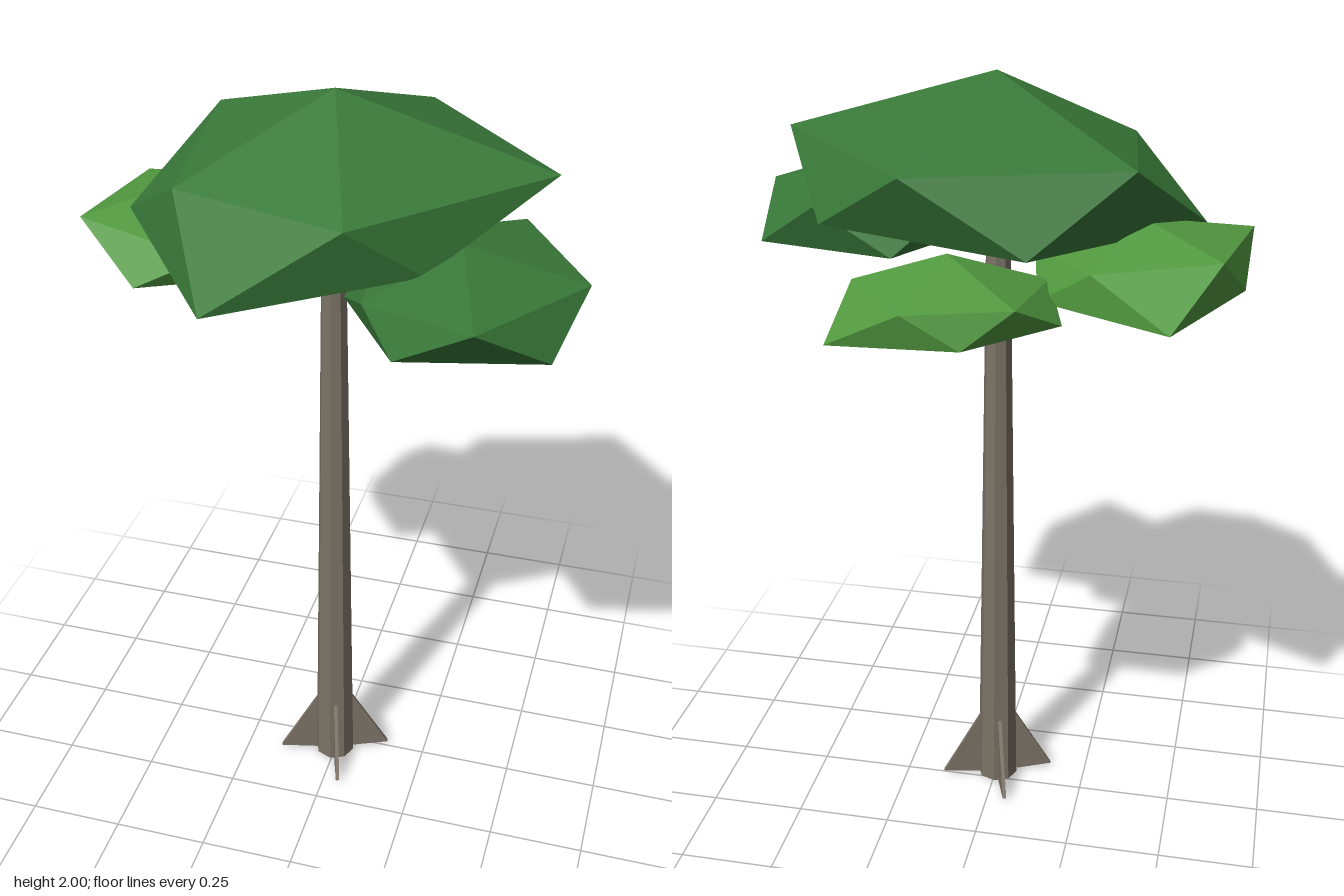
import * as THREE from 'three';

// Faceted foliage clump: top point, upper ring of five, lower ring of five, bottom point.
// Rings run from +x towards +z; the lower ring sits half a step further round.
function clump(name, material, apex, upper, lower, pole) {
  const pos = [];
  const tri = (a, b, c) => pos.push(...a, ...b, ...c);
  for (let i = 0; i < 5; i++) {
    const j = (i + 1) % 5;
    tri(apex, upper[j], upper[i]);
    tri(upper[i], upper[j], lower[i]);
    tri(lower[i], upper[j], lower[j]);
    tri(pole, lower[i], lower[j]);
  }
  const geo = new THREE.BufferGeometry();
  geo.setAttribute('position', new THREE.Float32BufferAttribute(pos, 3));
  geo.computeVertexNormals();
  const mesh = new THREE.Mesh(geo, material);
  mesh.name = name;
  return mesh;
}

export function createModel() {
  const model = new THREE.Group();
  model.name = 'tree';

  const bark = new THREE.MeshStandardMaterial({ color: 0x7b7366 });
  bark.name = 'bark';
  bark.flatShading = true;
  const darkLeaf = new THREE.MeshStandardMaterial({ color: 0x397939 });
  darkLeaf.name = 'dark leaf';
  const lightLeaf = new THREE.MeshStandardMaterial({ color: 0x51983f });
  lightLeaf.name = 'light leaf';

  // Tapered trunk
  const base = new THREE.Group();
  base.name = 'trunkAndRoots';
  base.position.set(-0.004, 0, 0.04);
  model.add(base);
  const trunk = new THREE.Mesh(new THREE.CylinderGeometry(0.031, 0.055, 1.6, 8), bark);
  trunk.name = 'trunk';
  trunk.position.y = 0.8;
  base.add(trunk);

  // Four thin buttress roots
  const fin = new THREE.Shape([
    new THREE.Vector2(0.02, 0.0),
    new THREE.Vector2(0.155, 0.012),
    new THREE.Vector2(0.045, 0.205),
    new THREE.Vector2(0.02, 0.24),
  ]);
  const finGeo = new THREE.ExtrudeGeometry(fin, { depth: 0.01, bevelEnabled: false });
  finGeo.translate(0, 0, -0.005);
  for (let i = 0; i < 4; i++) {
    const root = new THREE.Mesh(finGeo, bark);
    root.name = 'buttressRoot';
    root.rotation.y = 0.32 + i * Math.PI / 2;
    base.add(root);
  }

  // Main crown
  model.add(clump('crown', darkLeaf, [0, 2, 0.04],
    [[0.515, 1.85, 0.035], [0.12, 1.83, 0.41], [-0.31, 1.82, 0.27], [-0.37, 1.84, -0.23], [0.135, 1.84, -0.39]],
    [[0.27, 1.69, 0.29], [-0.165, 1.65, 0.53], [-0.512, 1.657, 0.05], [-0.15, 1.667, -0.385], [0.37, 1.68, -0.23]],
    [0, 1.57, 0.04]));

  // Lower clumps around the crown
  model.add(clump('leftClump', darkLeaf, [0.335, 1.735, 0.2],
    [[0.62, 1.675, 0.2], [0.425, 1.69, 0.52], [0.15, 1.65, 0.37], [0.12, 1.66, 0.03], [0.43, 1.68, -0.09]],
    [[0.57, 1.57, 0.38], [0.24, 1.57, 0.46], [0.065, 1.57, 0.2], [0.24, 1.56, -0.08], [0.597, 1.56, 0]],
    [0.32, 1.525, 0.08]));
  model.add(clump('rightClump', lightLeaf, [-0.37, 1.7, -0.09],
    [[-0.12, 1.61, -0.09], [-0.28, 1.61, 0.18], [-0.622, 1.64, 0.1], [-0.57, 1.64, -0.22], [-0.28, 1.62, -0.3]],
    [[-0.13, 1.53, 0.06], [-0.45, 1.525, 0.21], [-0.617, 1.535, -0.08], [-0.47, 1.52, -0.39], [-0.15, 1.53, -0.24]],
    [-0.37, 1.46, -0.09]));
  model.add(clump('backClump', lightLeaf, [0.04, 1.66, -0.33],
    [[0.27, 1.58, -0.31], [0.11, 1.57, -0.09], [-0.17, 1.57, -0.19], [-0.14, 1.58, -0.46], [0.1, 1.58, -0.537]],
    [[0.22, 1.5, -0.15], [-0.03, 1.49, -0.09], [-0.22, 1.5, -0.31], [-0.03, 1.5, -0.52], [0.28, 1.49, -0.51]],
    [0.03, 1.45, -0.33]));

  return model;
}
